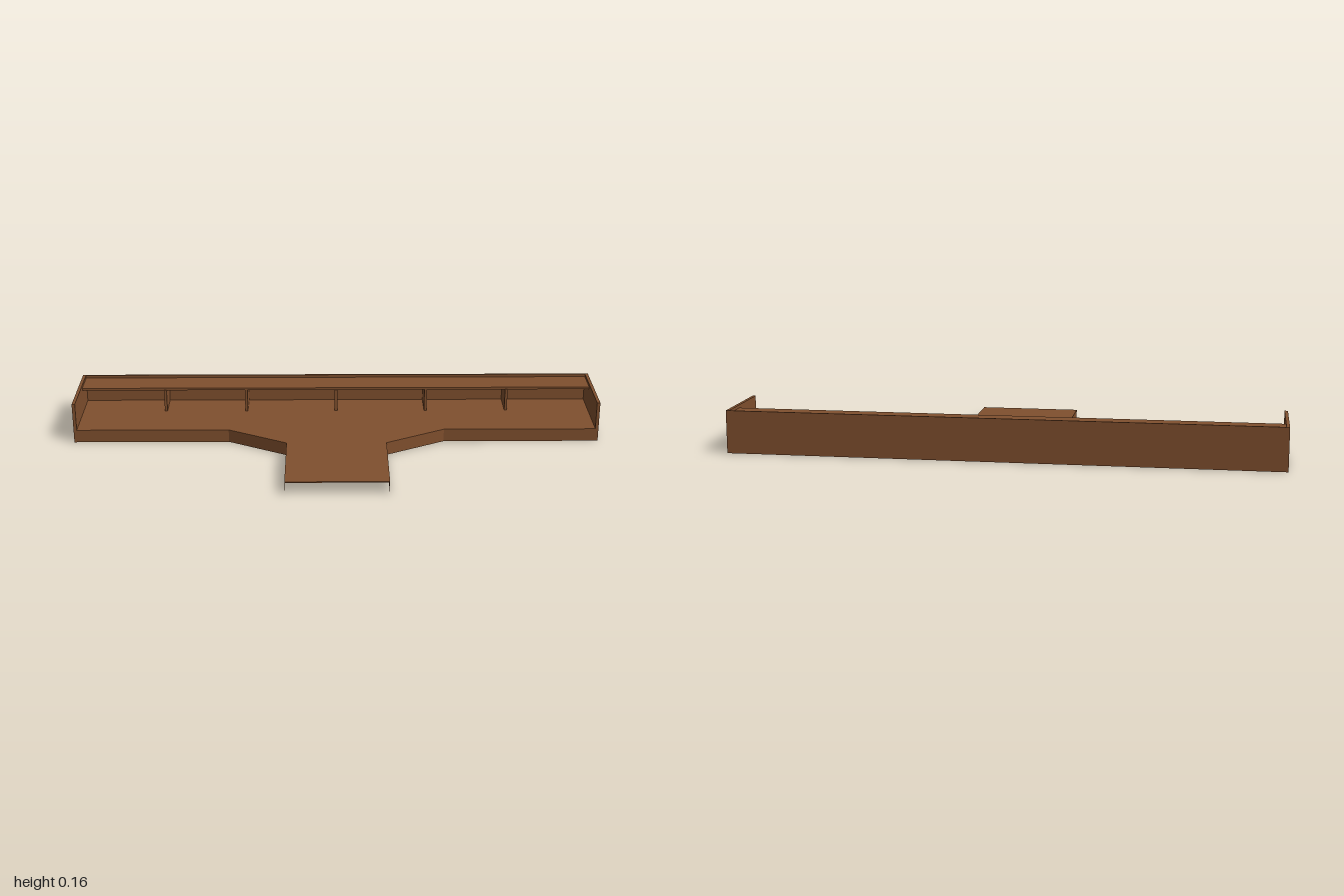
import * as THREE from 'three';

export function createModel() {
  const group = new THREE.Group();
  group.name = 'platform';
  const brown = new THREE.MeshStandardMaterial({ color: 0x80502e, side: THREE.DoubleSide });
  brown.name = 'brown';

  const DECK = 0.05, TOP = 0.157, BACK = -0.376, FRONT = -0.077, WALL = 0.012;

  const add = (name, geometry) => {
    const mesh = new THREE.Mesh(geometry, brown);
    mesh.name = name;
    group.add(mesh);
    return mesh;
  };
  // Box given by its minimum and maximum corners
  const box = (name, x0, x1, y0, y1, z0, z1) => {
    const g = new THREE.BoxGeometry(x1 - x0, y1 - y0, z1 - z0);
    g.translate((x0 + x1) / 2, (y0 + y1) / 2, (z0 + z1) / 2);
    return add(name, g);
  };

  // T-shaped outline as [x, z], starting and ending at the open walkway end
  const half = [[0.187, 0.376], [0.187, 0.045], [0.41, FRONT], [1, FRONT], [1, BACK]];
  const outline = [...half, ...half.map(([x, z]) => [-x, z]).reverse()];

  // Deck: thin slab
  const shape = new THREE.Shape(outline.map(([x, z]) => new THREE.Vector2(x, -z)));
  const deck = new THREE.ExtrudeGeometry(shape, { depth: 0.004, bevelEnabled: false });
  deck.rotateX(-Math.PI / 2);
  deck.translate(0, DECK - 0.004, 0);
  add('deck', deck);

  // Skirt: thin upright strips below the deck, hollow inside and open at the walkway end
  for (let i = 0; i < outline.length - 1; i++) {
    const [ax, az] = outline[i], [bx, bz] = outline[i + 1];
    const length = Math.hypot(bx - ax, bz - az);
    const strip = add('skirt', new THREE.PlaneGeometry(length, DECK));
    strip.position.set((ax + bx) / 2, DECK / 2, (az + bz) / 2);
    strip.rotation.y = Math.atan2(-(bz - az), bx - ax);
  }

  // Back and end walls
  box('backWall', -1, 1, DECK, TOP, BACK, BACK + 0.006);
  for (const s of [-1, 1]) {
    box('endWall', s < 0 ? -1 : 1 - WALL, s < 0 ? -1 + WALL : 1, DECK, TOP, BACK, FRONT);
  }

  // Bench seat and its upright supports
  box('benchSeat', -1 + WALL, 1 - WALL, 0.137, 0.146, BACK + 0.006, -0.262);
  for (const x of [-0.665, -0.35, 0, 0.35, 0.665]) {
    box('benchSupport', x - 0.005, x + 0.005, DECK, 0.138, BACK + 0.006, -0.259);
  }
  return group;
}
